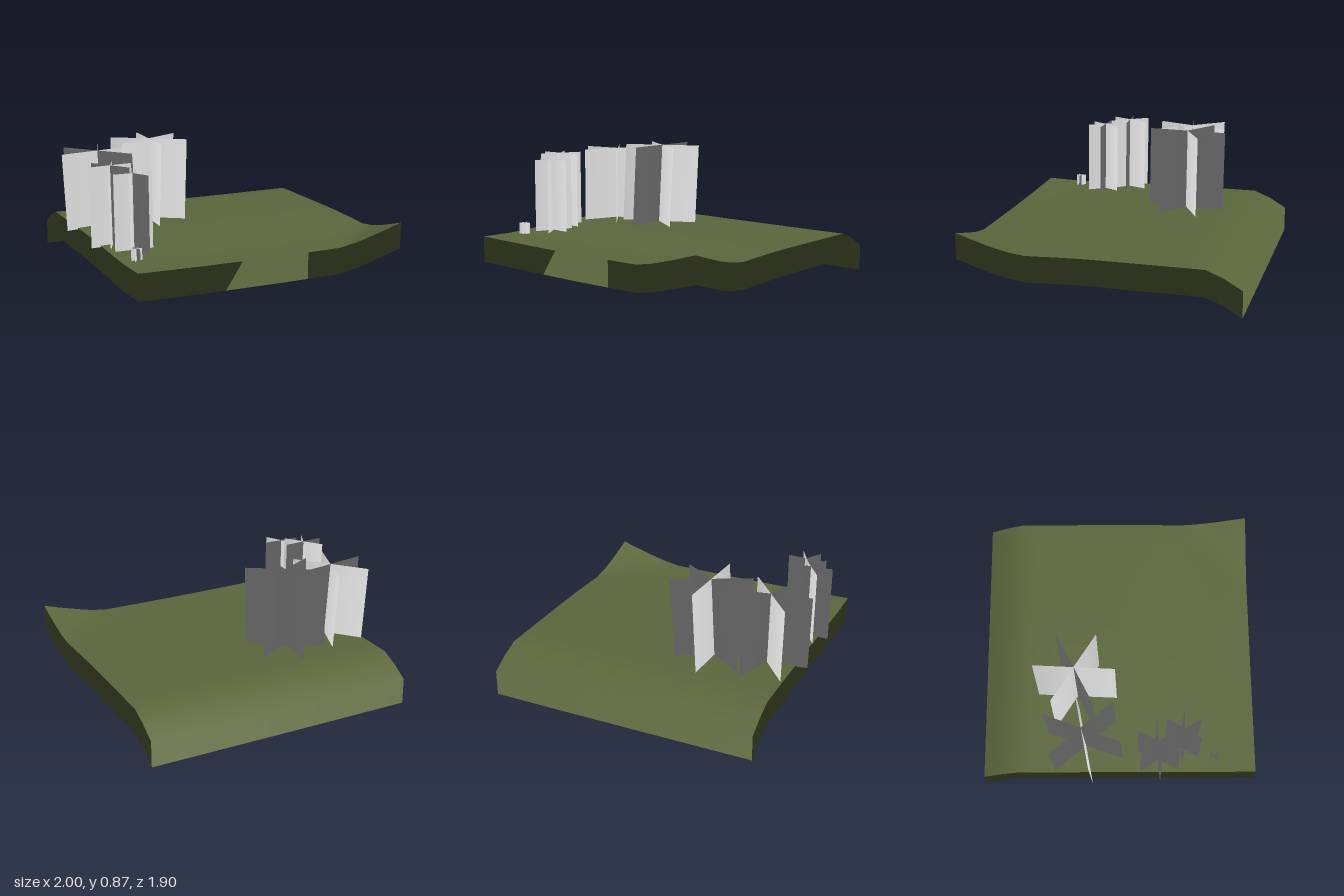
import * as THREE from 'three';

const grass = new THREE.MeshStandardMaterial({ color: 0x5c673c, side: THREE.DoubleSide });
grass.name = 'grass green';
const paleGrey = new THREE.MeshStandardMaterial({ color: 0xcccccc, side: THREE.DoubleSide });
paleGrey.name = 'pale grey';

const X0 = -0.9, Z0 = -0.95, SIZE = 1.9, SEG = 16, SKIRT = 0.18;
const clamp = THREE.MathUtils.clamp;

// Ground height: flat, falling at the back, dipping at the front, rising at one corner
function height(x, z) {
  let y = 0.297 - 0.018 * THREE.MathUtils.smoothstep(z, 0, 0.7) + 0.002 * x * x;
  if (z > 0.7) y += (z - 0.7) * (x * x - 0.07) * 0.04;
  const back = clamp((-0.71 - z) / 0.24, 0, 1);
  y -= 0.075 * back + 0.043 * back * back;
  const corner = clamp((x + z - 1.5) / 0.45, 0, 1);
  return y + 0.112 * Math.pow(corner, 1.15);
}

// Surface normal from height differences
function normalAt(x, z) {
  const e = 0.06;
  const xa = Math.max(x - e, X0), xb = Math.min(x + e, X0 + SIZE);
  const za = Math.max(z - e, Z0), zb = Math.min(z + e, Z0 + SIZE);
  return new THREE.Vector3(
    -(height(xb, z) - height(xa, z)) / (xb - xa), 1,
    -(height(x, zb) - height(x, za)) / (zb - za)).normalize();
}

function makeGeometry(positions, normals, indices) {
  const g = new THREE.BufferGeometry();
  g.setAttribute('position', new THREE.Float32BufferAttribute(positions, 3));
  g.setAttribute('normal', new THREE.Float32BufferAttribute(normals, 3));
  g.setIndex(indices);
  return g;
}

const gridPoint = (i, j) => [X0 + SIZE * i / SEG, Z0 + SIZE * j / SEG];

function groundSurface() {
  const p = [], n = [], idx = [];
  for (let j = 0; j <= SEG; j++) for (let i = 0; i <= SEG; i++) {
    const [x, z] = gridPoint(i, j);
    p.push(x, height(x, z), z);
    n.push(...normalAt(x, z).toArray());
  }
  for (let j = 0; j < SEG; j++) for (let i = 0; i < SEG; i++) {
    const a = j * (SEG + 1) + i, b = a + 1, c = a + SEG + 1, d = c + 1;
    idx.push(a, c, b, b, c, d);
  }
  return makeGeometry(p, n, idx);
}

// Hanging border; it shares the normals of the surface so it blends into it
function groundSkirt() {
  const loop = [];
  for (let k = 0; k < SEG; k++) loop.push(gridPoint(k, SEG));
  for (let k = 0; k < SEG; k++) loop.push(gridPoint(SEG, SEG - k));
  for (let k = 0; k < SEG; k++) loop.push(gridPoint(SEG - k, 0));
  for (let k = 0; k <= SEG; k++) loop.push(gridPoint(0, k));
  const p = [], n = [], idx = [];
  loop.forEach(([x, z], k) => {
    const y = height(x, z), nn = normalAt(x, z).toArray();
    p.push(x, y - SKIRT, z, x, y, z);
    n.push(...nn, ...nn);
    if (k) {
      const a = 2 * k - 2;
      idx.push(a, a + 2, a + 3, a, a + 3, a + 1);
    }
  });
  return makeGeometry(p, n, idx);
}

// Three crossed upright panels; their normals point up and fan gently outward
function crossedTree(name, { base, top, r, y0, y1, turn }) {
  const tree = new THREE.Group();
  tree.name = name;
  for (let k = 0; k < 3; k++) {
    const a = THREE.MathUtils.degToRad(turn + 60 * k);
    const p = [], n = [];
    for (const side of [-1, 0, 1]) {
      const x = side * Math.cos(a), z = side * Math.sin(a);
      p.push(base[0] + r * x, y0, base[1] + r * z, top[0] + r * x, y1, top[1] + r * z);
      const nn = new THREE.Vector3(0.35 * x, 1, 0.35 * z).normalize().toArray();
      n.push(...nn, ...nn);
    }
    const panel = new THREE.Mesh(makeGeometry(p, n, [0, 2, 3, 0, 3, 1, 2, 4, 5, 2, 5, 3]), paleGrey);
    panel.name = 'treePanel';
    tree.add(panel);
  }
  return tree;
}

export function createModel() {
  const model = new THREE.Group();
  model.name = 'groundTileWithTrees';

  const surface = new THREE.Mesh(groundSurface(), grass);
  surface.name = 'groundSurface';
  const skirt = new THREE.Mesh(groundSkirt(), grass);
  skirt.name = 'groundSkirt';
  model.add(surface, skirt);

  model.add(
    crossedTree('largeTreeRight', { base: [-0.708, -0.230], top: [-0.727, -0.252], r: 0.277, y0: 0.29, y1: 0.825, turn: -10 }),
    crossedTree('largeTreeLeft', { base: [-0.346, -0.289], top: [-0.323, -0.301], r: 0.277, y0: 0.29, y1: 0.872, turn: -27 }),
    crossedTree('slimTreeBack', { base: [-0.813, 0.27], top: [-0.82, 0.264], r: 0.153, y0: 0.283, y1: 0.825, turn: -5 }),
    crossedTree('slimTreeFront', { base: [-0.725, 0.438], top: [-0.729, 0.434], r: 0.132, y0: 0.277, y1: 0.798, turn: 1 }),
    crossedTree('sapling', { base: [-0.794, 0.661], top: [-0.796, 0.658], r: 0.036, y0: 0.274, y1: 0.36, turn: 10 }),
  );
  return model;
}
